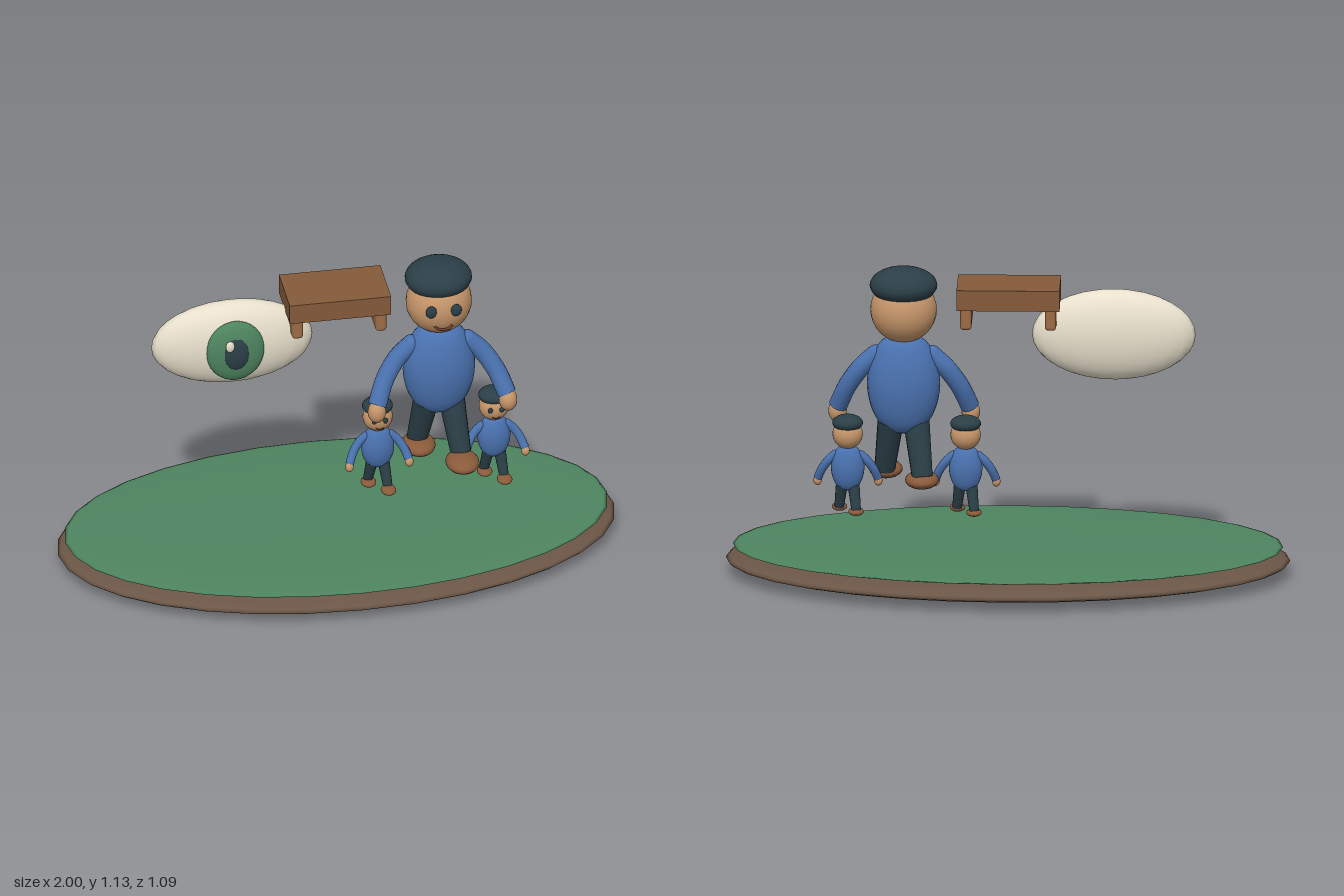
import * as THREE from 'three';
import { RoundedBoxGeometry } from 'three/addons/geometries/RoundedBoxGeometry.js';

const mat = (color) => new THREE.MeshStandardMaterial({ color });
const M = {
  earth: mat(0x6b5646), grass: mat(0x4e8560), white: mat(0xe8e0cc), dark: mat(0x2b3f47),
  wood: mat(0x855a3a), strut: mat(0x9c6b45), skin: mat(0xc6966a), blue: mat(0x4a72b0),
  shoe: mat(0x8a5a3a), mouth: mat(0x7a4030),
};

function add(parent, name, geometry, material, pos = [0, 0, 0]) {
  const mesh = new THREE.Mesh(geometry, material);
  mesh.name = name;
  mesh.position.set(...pos);
  parent.add(mesh);
  return mesh;
}

function ellipsoid(parent, name, material, pos, radii, w = 24, h = 16) {
  const g = new THREE.SphereGeometry(1, w, h).scale(...radii);
  return add(parent, name, g, material, pos);
}

const v3 = (p) => new THREE.Vector3(...p);

// Tapered round limb between two points
function limb(parent, name, material, a, b, ra, rb) {
  const from = v3(a), to = v3(b), dir = to.clone().sub(from);
  const mesh = add(parent, name, new THREE.CylinderGeometry(rb, ra, dir.length(), 16), material);
  mesh.position.copy(from).lerp(to, 0.5);
  mesh.quaternion.setFromUnitVectors(new THREE.Vector3(0, 1, 0), dir.normalize());
  return mesh;
}

// Walking figure, 0.8 tall, soles at y = 0
function createFigure(name) {
  const fig = new THREE.Group();
  fig.name = name;

  // Torso
  const profile = [[0, 0.19], [0.05, 0.2], [0.09, 0.235], [0.118, 0.295], [0.13, 0.37],
    [0.122, 0.44], [0.1, 0.5], [0.067, 0.538], [0, 0.55]].map((p) => new THREE.Vector2(...p));
  const curve = new THREE.SplineCurve(profile).getPoints(24);
  curve.forEach((p) => { p.x = Math.max(0, p.x); });
  add(fig, 'torso', new THREE.LatheGeometry(curve, 24).scale(1, 1, 0.69), M.blue);

  // Head
  ellipsoid(fig, 'head', M.skin, [0, 0.645, -0.002], [0.118, 0.118, 0.108]);
  ellipsoid(fig, 'hair', M.dark, [0, 0.738, -0.011], [0.12, 0.065, 0.109]);
  const smile = new THREE.TorusGeometry(0.034, 0.005, 8, 16, Math.PI * 0.8);
  smile.rotateZ(Math.PI * 1.1).scale(1, 0.8, 1);
  add(fig, 'smile', smile, M.mouth, [0, 0.609, 0.097]);

  for (const s of [-1, 1]) {
    const side = s > 0 ? 'left' : 'right';
    ellipsoid(fig, side + 'Eye', M.dark, [s * 0.045, 0.66, 0.1], [0.02, 0.024, 0.011], 14, 10);

    // Arm, curving forward to the hand
    const path = new THREE.CatmullRomCurve3([
      [s * 0.1, 0.478, 0.005], [s * 0.15, 0.43, 0.008], [s * 0.2, 0.355, 0.03], [s * 0.233, 0.275, 0.065],
    ].map(v3));
    add(fig, side + 'Arm', new THREE.TubeGeometry(path, 16, 0.034, 14), M.blue);
    ellipsoid(fig, side + 'Shoulder', M.blue, [s * 0.1, 0.478, 0.005], [0.034, 0.034, 0.034], 14, 10);
    ellipsoid(fig, side + 'Hand', M.skin, [s * 0.236, 0.251, 0.073], [0.033, 0.042, 0.033], 16, 12);

    // Striding leg and shoe, left one forward
    const footZ = s > 0 ? 0.105 : -0.04;
    limb(fig, side + 'Leg', M.dark, [s * 0.045, 0.24, 0], [s * 0.068, 0.045, s * 0.06], 0.047, 0.037);
    ellipsoid(fig, side + 'Shoe', M.shoe, [s * 0.066, 0.03, footZ], [0.06, 0.03, 0.075], 20, 12);
  }
  return fig;
}

export function createModel() {
  const model = new THREE.Group();
  model.name = 'scene';

  // Oval ground
  ellipsoid(model, 'groundBase', M.earth, [0, 0.056, 0], [1, 0.055, 0.545], 32, 20);
  ellipsoid(model, 'groundGrass', M.grass, [0, 0.106, 0], [0.975, 0.016, 0.52], 32, 20);

  // Large floating eye
  const eye = new THREE.Group();
  eye.name = 'largeEye';
  eye.position.set(-0.375, 0.885, 0);
  ellipsoid(eye, 'eyeball', M.white, [0, 0, 0], [0.29, 0.165, 0.08]);
  ellipsoid(eye, 'iris', M.grass, [0, 0, 0.07], [0.105, 0.12, 0.035]);
  ellipsoid(eye, 'pupil', M.dark, [0, 0, 0.095], [0.047, 0.065, 0.018]);
  ellipsoid(eye, 'highlight', M.white, [-0.025, 0.04, 0.108], [0.016, 0.022, 0.01], 14, 10);
  model.add(eye);

  // Floating bench with two runners
  add(model, 'benchTop', new THREE.BoxGeometry(0.365, 0.075, 0.215), M.wood, [-0.003, 1.033, -0.002]);
  for (const x of [-0.153, 0.147]) {
    add(model, 'benchRunner', new RoundedBoxGeometry(0.04, 0.09, 0.19, 3, 0.012), M.strut, [x, 0.965, -0.002]);
  }

  // Adult holding two children
  const adult = createFigure('adult');
  adult.position.set(0.37, 0.325, 0);
  model.add(adult);
  for (const [name, x] of [['rightChild', 0.15], ['leftChild', 0.568]]) {
    const child = createFigure(name);
    child.position.set(x, 0.217, 0);
    child.scale.setScalar(0.456);
    model.add(child);
  }
  return model;
}
